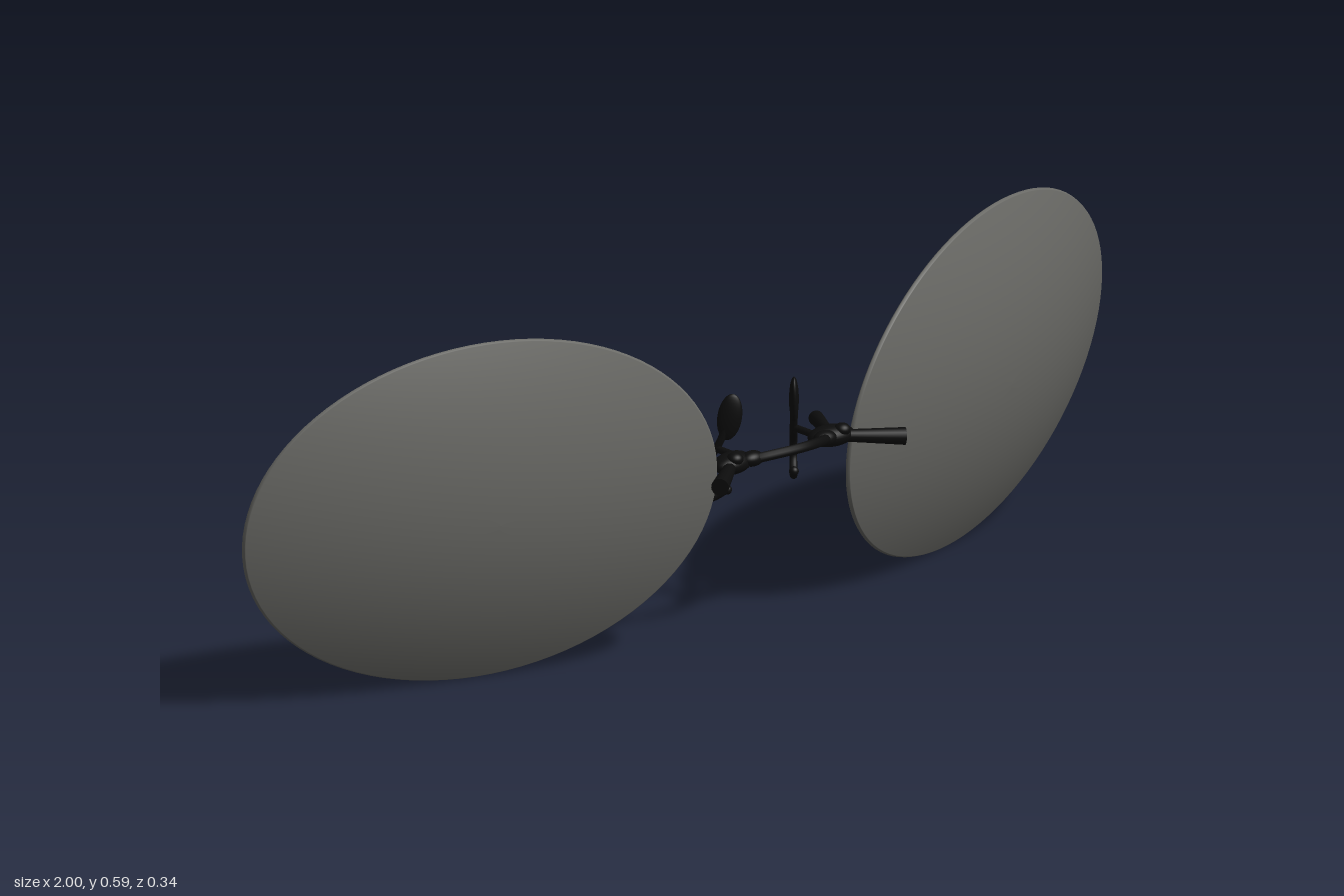
import * as THREE from 'three';

const V = (x, y, z) => new THREE.Vector3(x, y, z);

// Mirror a geometry across x = 0 and restore its face winding
function mirrored(geometry) {
  const g = geometry.clone().scale(-1, 1, 1);
  const index = g.index.array;
  for (let i = 0; i < index.length; i += 3) {
    [index[i], index[i + 1]] = [index[i + 1], index[i]];
  }
  return g;
}

// Tapered rod between two points
function rod(a, b, ra, rb) {
  const dir = b.clone().sub(a);
  const g = new THREE.CylinderGeometry(rb, ra, dir.length(), 20);
  g.applyQuaternion(new THREE.Quaternion().setFromUnitVectors(V(0, 1, 0), dir.normalize()));
  const mid = a.clone().lerp(b, 0.5);
  return g.translate(mid.x, mid.y, mid.z);
}

function ellipsoid(center, radii, turn = 0, lean = 0) {
  return new THREE.SphereGeometry(1, 28, 18)
    .scale(radii.x, radii.y, radii.z)
    .rotateZ(lean)
    .rotateY(turn)
    .translate(center.x, center.y, center.z);
}

const tube = (points, r) =>
  new THREE.TubeGeometry(new THREE.CatmullRomCurve3(points), 48, r, 10);

// Thin domed shell turned from a profile, then shaped to a tilted oval
function lensGeometry() {
  const bulge = 0.068, thickness = 0.007, steps = 20;
  const profile = [];
  for (let i = 0; i <= steps; i++) {
    const r = Math.sin((i / steps) * Math.PI / 2) * 0.994;
    profile.push(new THREE.Vector2(r, bulge * (1 - r * r) - thickness));
  }
  profile.push(new THREE.Vector2(1, -thickness / 2));
  for (let i = steps; i >= 0; i--) {
    const r = Math.sin((i / steps) * Math.PI / 2) * 0.994;
    profile.push(new THREE.Vector2(r, bulge * (1 - r * r)));
  }
  const g = new THREE.LatheGeometry(profile, 96);
  const along = V(0.4225, 0.0175, -0.125);
  const down = V(0, -0.293, -0.047);
  const out = down.clone().cross(along).normalize();
  const m = new THREE.Matrix4().makeBasis(along, out, down).setPosition(0.5775, 0.297, -0.036);
  return g.applyMatrix4(m);
}

export function createModel() {
  const model = new THREE.Group();
  const tint = new THREE.MeshStandardMaterial({ color: 0x6a6a66, side: THREE.DoubleSide });
  const black = new THREE.MeshStandardMaterial({ color: 0x0c0c0c });

  function add(name, geometry, material, parent) {
    const mesh = new THREE.Mesh(geometry, material);
    mesh.name = name;
    parent.add(mesh);
  }

  // Nose support lies in an upright plane turned 45 degrees
  const onPlane = (x, y) => V(x, y, 0.115 - x);
  const hub = V(0.115, 0.308, 0.085);

  const sideParts = [
    ['lens', lensGeometry(), tint],
    // Joint beside the lens
    ['hub', ellipsoid(hub, V(0.043, 0.018, 0.026), -0.2), black],
    ['hubScrew', ellipsoid(V(0.125, 0.319, 0.1), V(0.014, 0.011, 0.014)), black],
    ['hubKnob', ellipsoid(V(0.085, 0.312, 0.1), V(0.022, 0.013, 0.016)), black],
    // Prongs gripping the lens in front and behind
    ['frontProng', rod(hub, V(0.216, 0.3, 0.154), 0.009, 0.0145), black],
    ['rearProng', rod(hub, V(0.187, 0.303, -0.018), 0.008, 0.0125), black],
    // Nose pad, its hooked wire and the stub holding it
    ['nosePad', ellipsoid(onPlane(0.075, 0.368), V(0.02, 0.039, 0.008), Math.PI / 4, 0.15), black],
    ['noseWire', tube([
      onPlane(0.078, 0.36), onPlane(0.085, 0.33), onPlane(0.094, 0.308),
      onPlane(0.112, 0.285), onPlane(0.116, 0.255), onPlane(0.1, 0.232), onPlane(0.078, 0.246),
    ], 0.0065), black],
    ['noseWireTip', ellipsoid(onPlane(0.078, 0.246), V(0.008, 0.008, 0.008)), black],
    ['noseStub', rod(onPlane(0.09, 0.315), V(0.09, 0.31, 0.085), 0.006, 0.006), black],
  ];

  const left = new THREE.Group();
  left.name = 'leftSide';
  const right = new THREE.Group();
  right.name = 'rightSide';
  model.add(left, right);
  for (const [name, geometry, material] of sideParts) {
    add(name, geometry, material, left);
    add(name, mirrored(geometry), material, right);
  }

  // Bridge bowing forward between the hubs
  add('bridge', tube([
    V(-0.11, 0.306, 0.085), V(-0.065, 0.315, 0.115), V(0, 0.319, 0.13),
    V(0.065, 0.315, 0.115), V(0.11, 0.306, 0.085),
  ], 0.0085), black, model);

  return model;
}
